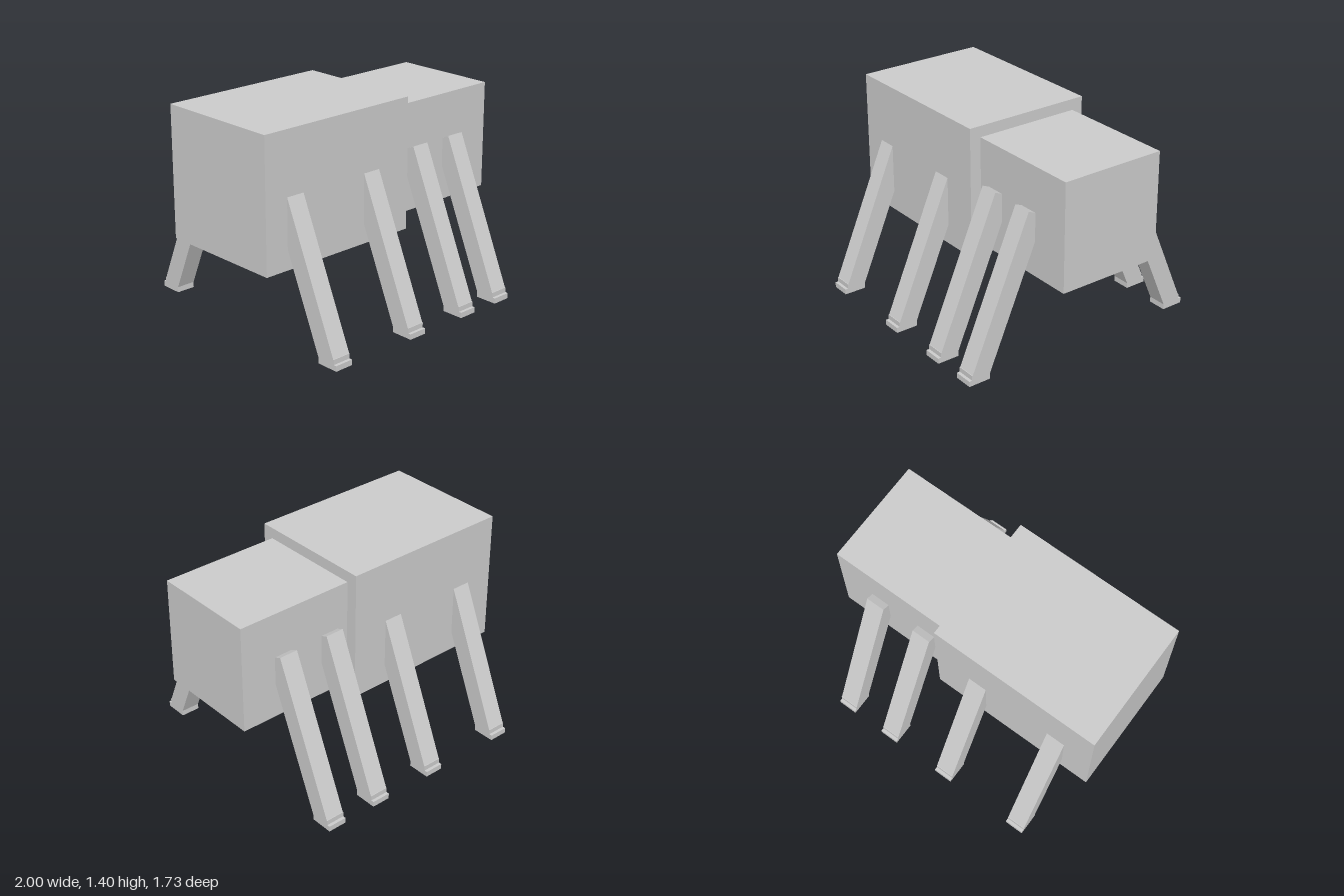
import * as THREE from 'three';

export function createModel() {
  const model = new THREE.Group();
  const grey = new THREE.MeshStandardMaterial({ color: 0xcccccc });
  grey.name = 'light grey';

  // Large rear block and smaller front block of the body
  function block(name, x0, x1, y0, y1, depth) {
    const mesh = new THREE.Mesh(new THREE.BoxGeometry(x1 - x0, y1 - y0, depth), grey);
    mesh.name = name;
    mesh.position.set((x0 + x1) / 2, (y0 + y1) / 2, 0);
    model.add(mesh);
  }
  block('body', -1, 0.18, 0.52, 1.405, 0.886);
  block('head', 0.18, 1, 0.6, 1.33, 0.73);

  // Slanted square leg with a stepped foot: side profile (outward, up)
  const legWidth = 0.13;
  const profile = [
    [0.71, 0], [0.864, 0], [0.864, 0.037], [0.843, 0.037], [0.843, 0.07],
    [0.838, 0.07], [0.415, 1.05], [0.295, 0.998], [0.71, 0.037],
  ].map(([z, y]) => new THREE.Vector2(z, y));
  const legGeometry = new THREE.ExtrudeGeometry(new THREE.Shape(profile), {
    depth: legWidth, bevelEnabled: false,
  });
  legGeometry.translate(0, 0, -legWidth / 2);

  // Four legs on each side, slightly staggered
  const sides = [
    { name: 'frontLeg', turn: -Math.PI / 2, xs: [-0.768, -0.135, 0.331, 0.66] },
    { name: 'backLeg', turn: Math.PI / 2, xs: [-0.738, -0.138, 0.325, 0.688] },
  ];
  for (const { name, turn, xs } of sides) {
    xs.forEach((x, i) => {
      const leg = new THREE.Mesh(legGeometry, grey);
      leg.name = name + (i + 1);
      leg.position.x = x;
      leg.rotation.y = turn;
      model.add(leg);
    });
  }
  return model;
}
